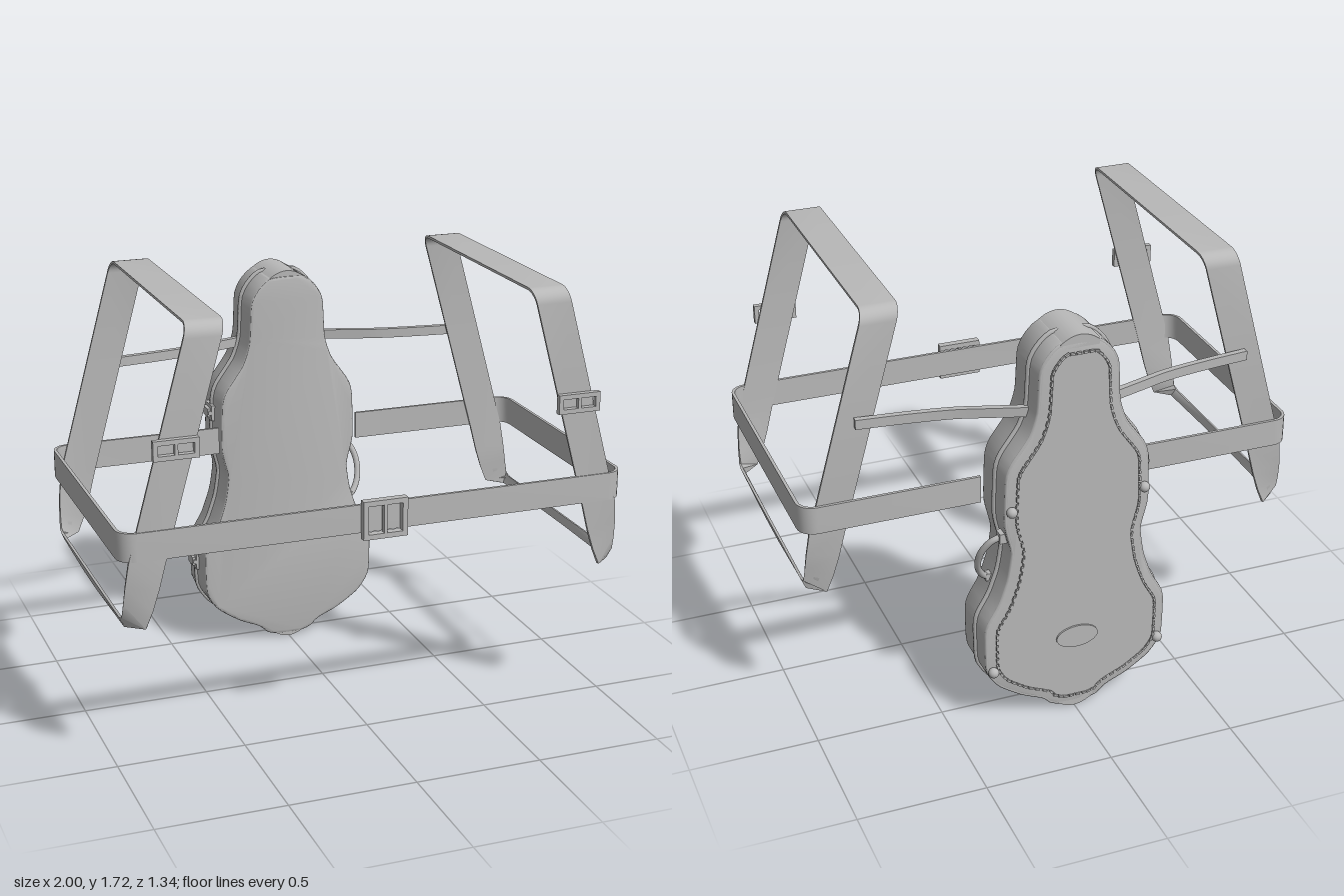
import * as THREE from 'three';
import { mergeGeometries, toCreasedNormals } from 'three/addons/utils/BufferGeometryUtils.js';

const V = (x, y, z) => new THREE.Vector3(x, y, z);
const grey = new THREE.MeshStandardMaterial({ color: 0xb8b8b8, side: THREE.DoubleSide });
grey.name = 'grey';

function add(parent, name, geometry, x = 0, y = 0, z = 0) {
  const mesh = new THREE.Mesh(geometry, grey);
  mesh.name = name;
  mesh.position.set(x, y, z);
  parent.add(mesh);
  return mesh;
}

// Flat strap through stations [edgeA, edgeB], with thickness
function ribbon(stations, thickness, closed = false) {
  const n = stations.length, pos = [], idx = [];
  const mid = (i) => stations[i][0].clone().add(stations[i][1]).multiplyScalar(0.5);
  stations.forEach(([a, b], i) => {
    const prev = closed ? (i + n - 1) % n : Math.max(i - 1, 0);
    const next = closed ? (i + 1) % n : Math.min(i + 1, n - 1);
    const normal = mid(next).sub(mid(prev)).cross(b.clone().sub(a)).normalize().multiplyScalar(thickness / 2);
    for (const p of [a.clone().add(normal), b.clone().add(normal), b.clone().sub(normal), a.clone().sub(normal)]) {
      pos.push(p.x, p.y, p.z);
    }
  });
  for (let i = 0; i < (closed ? n : n - 1); i++) {
    for (let k = 0; k < 4; k++) {
      const a = i * 4 + k, b = i * 4 + (k + 1) % 4;
      const c = ((i + 1) % n) * 4 + k, d = ((i + 1) % n) * 4 + (k + 1) % 4;
      idx.push(a, b, c, b, d, c);
    }
  }
  if (!closed) {
    const e = (n - 1) * 4;
    idx.push(0, 2, 1, 0, 3, 2, e, e + 1, e + 2, e, e + 2, e + 3);
  }
  const g = new THREE.BufferGeometry();
  g.setAttribute('position', new THREE.Float32BufferAttribute(pos, 3));
  g.setIndex(idx);
  return toCreasedNormals(g, 0.7);
}

// Right half of the case outline, top to bottom
const HALF = [[0.07, 1.585], [0.125, 1.54], [0.155, 1.48], [0.165, 1.32], [0.195, 1.23], [0.265, 1.13],
  [0.285, 1.07], [0.29, 0.88], [0.265, 0.77], [0.265, 0.73], [0.28, 0.64], [0.315, 0.54], [0.36, 0.46],
  [0.37, 0.41], [0.365, 0.25], [0.315, 0.17], [0.22, 0.105], [0.13, 0.065], [0.1, 0.035], [0.05, 0.02]];

function caseOutline(inset) {
  const all = [...HALF, ...HALF.map(([x, y]) => [-x, y]).reverse()].map(([x, y]) => V(x, y, 0));
  const curve = new THREE.CatmullRomCurve3(all, true, 'catmullrom', 0.3);
  const pts = curve.getSpacedPoints(130).slice(0, -1);
  return pts.map((p, i) => {
    const t = pts[(i + 2) % pts.length].clone().sub(pts[(i + pts.length - 2) % pts.length]).normalize();
    return new THREE.Vector2(p.x + t.y * inset, p.y - t.x * inset);
  });
}

function slab(inset, zBack, zFront, bevel = 0) {
  const g = new THREE.ExtrudeGeometry(new THREE.Shape(caseOutline(inset)), {
    depth: zFront - zBack - 2 * bevel, bevelEnabled: bevel > 0, bevelSize: bevel,
    bevelThickness: bevel, bevelOffset: -bevel, bevelSegments: 2,
  });
  g.translate(0, 0, zBack + bevel);
  return toCreasedNormals(g, 0.5);
}

function outlineTube(inset, z, radius) {
  const pts = caseOutline(inset).map((p) => V(p.x, p.y, z));
  return new THREE.TubeGeometry(new THREE.CatmullRomCurve3(pts, true), 160, radius, 6, true);
}

// Rectangular buckle frame with a middle bar
function buckle(name, w, h, rim, depth) {
  const group = new THREE.Group();
  group.name = name;
  const rect = (T, a, b) => new T([[-a, -b], [a, -b], [a, b], [-a, b]].map(([x, y]) => new THREE.Vector2(x, y)));
  const frame = rect(THREE.Shape, w / 2, h / 2);
  frame.holes.push(rect(THREE.Path, w / 2 - rim, h / 2 - rim));
  add(group, 'buckleFrame', new THREE.ExtrudeGeometry(frame, { depth, bevelEnabled: false }));
  add(group, 'buckleBar', new THREE.BoxGeometry(0.012, h - rim, depth * 0.8), 0, 0, depth * 0.6);
  return group;
}

function buildCase() {
  const g = new THREE.Group();
  g.name = 'instrumentCase';
  add(g, 'caseBody', slab(0, -0.64, -0.41, 0.012));
  add(g, 'frontRim', outlineTube(0.008, -0.42, 0.008));
  add(g, 'seamBead', outlineTube(-0.002, -0.54, 0.01));
  add(g, 'backRim', outlineTube(0.008, -0.632, 0.008));
  add(g, 'backPanel', slab(0.05, -0.653, -0.63));

  // Stitches around the back panel
  const line = caseOutline(0.045);
  const stitches = line.map((p, i) => {
    const q = line[(i + 1) % line.length];
    const s = new THREE.BoxGeometry(0.018, 0.008, 0.01);
    s.rotateZ(Math.atan2(q.y - p.y, q.x - p.x));
    return s.translate(p.x, p.y, -0.652);
  });
  add(g, 'stitching', mergeGeometries(stitches));

  // Rounded end caps
  for (const [name, y, dir] of [['topCap', 1.56, 1], ['bottomCap', 0.055, -1]]) {
    const s = new THREE.Shape();
    s.moveTo(-0.075, 0);
    s.lineTo(-0.075, 0.02);
    s.quadraticCurveTo(0, 0.08, 0.075, 0.02);
    s.lineTo(0.075, 0);
    const cap = new THREE.ExtrudeGeometry(s, { depth: 0.225, bevelEnabled: false, curveSegments: 10 });
    if (dir < 0) cap.rotateZ(Math.PI);
    add(g, name, toCreasedNormals(cap, 0.5), 0, y, -0.64);
  }

  // Studs and oval badge on the back
  for (const side of [-1, 1]) {
    for (const [x, y] of [[0.34, 0.25], [0.265, 0.94]]) {
      add(g, 'stud', new THREE.SphereGeometry(0.021, 14, 10), side * x, y, -0.652);
    }
  }
  const badge = new THREE.CylinderGeometry(0.085, 0.085, 0.008, 32).rotateX(Math.PI / 2);
  add(g, 'badge', badge, 0, 0.34, -0.656).scale.y = 0.55;

  // Latches on the right edge
  for (const [x, y] of [[-0.293, 1.01], [-0.372, 0.36]]) {
    add(g, 'latchPlate', new THREE.BoxGeometry(0.016, 0.065, 0.09), x, y, -0.55);
    add(g, 'latchLever', new THREE.BoxGeometry(0.022, 0.035, 0.06), x - 0.01, y, -0.55);
    add(g, 'latchPin', new THREE.CylinderGeometry(0.009, 0.009, 0.08, 10).rotateX(Math.PI / 2), x - 0.012, y, -0.55);
  }

  // Carrying handle on the left edge
  const path = new THREE.CatmullRomCurve3([V(0.28, 0.815, -0.6), V(0.32, 0.8, -0.593), V(0.352, 0.75, -0.57),
    V(0.36, 0.69, -0.543), V(0.345, 0.63, -0.515), V(0.315, 0.59, -0.495), V(0.29, 0.58, -0.49)]);
  add(g, 'handle', new THREE.TubeGeometry(path, 32, 0.013, 10));
  add(g, 'handleMount', new THREE.BoxGeometry(0.03, 0.04, 0.045), 0.285, 0.815, -0.598);
  add(g, 'handleMount', new THREE.BoxGeometry(0.03, 0.03, 0.03), 0.3, 0.585, -0.492);
  return g;
}

// Shoulder loop: front half as [inner, outer] stations, mirrored to the back
function shoulderLoop() {
  const zc = 0.1125, half = 0.5175, r = 0.05, front = [];
  const inner = (y) => 0.59 + 0.275 * (1.72 - y);
  const level = (y, z) => front.push([V(inner(y), y, z), V(inner(y) + 0.14, y, z)]);
  level(1.715, 0.1);
  for (let i = 0; i <= 6; i++) {
    const a = (i / 6) * Math.PI / 2;
    level(1.665 + r * Math.cos(a), half - r + r * Math.sin(a));
  }
  level(1.3, half);
  level(0.86, half);
  front.push([V(0.855, 0.75, half), V(0.978, 0.77, half - 0.012)],
    [V(0.88, 0.67, half), V(0.983, 0.7, half - 0.026)],
    [V(0.907, 0.605, half), V(0.985, 0.645, half - 0.042)],
    [V(0.97, 0.602, half - 0.055), V(0.985, 0.636, half - 0.07)],
    [V(0.978, 0.602, 0.1), V(0.985, 0.636, 0.1)]);
  const back = front.map((s) => s.map((p) => V(p.x, p.y, -p.z))).reverse();
  const stations = [...front, ...back].map((s) => s.map((p) => V(p.x, p.y, p.z + zc)));
  return ribbon(stations, 0.01, true);
}

function waistBelt() {
  const r = 0.06, X = 0.993, zf = 0.633, zb = -0.415, path = [[0.3, zb]];
  const corner = (cx, cz, start) => {
    for (let i = 0; i <= 6; i++) {
      const a = start + (i / 6) * Math.PI / 2;
      path.push([cx + r * Math.cos(a), cz + r * Math.sin(a)]);
    }
  };
  corner(X - r, zb + r, -Math.PI / 2);
  corner(X - r, zf - r, 0);
  const full = [...path, ...path.map(([x, z]) => [-x, z]).reverse()];
  return ribbon(full.map(([x, z]) => [V(x, 0.867, z), V(x, 0.977, z)]), 0.012);
}

export function createModel() {
  const model = new THREE.Group();
  model.name = 'caseWithHarness';
  model.add(buildCase());
  add(model, 'waistBelt', waistBelt());
  const waistBuckle = buckle('waistBuckle', 0.175, 0.15, 0.02, 0.03);
  waistBuckle.position.set(0, 0.922, 0.642);
  model.add(waistBuckle);

  // Shoulder loops, buckles and upper straps on both sides
  for (const side of [1, -1]) {
    const harness = new THREE.Group();
    harness.name = side > 0 ? 'leftHarness' : 'rightHarness';
    harness.scale.x = side;
    add(harness, 'shoulderStrap', shoulderLoop());
    const b = buckle('shoulderBuckle', 0.17, 0.075, 0.018, 0.022);
    b.position.set(0.785, 1.277, 0.635);
    harness.add(b);
    const run = [[0.78, -0.425], [0.6, -0.445], [0.42, -0.475], [0.3, -0.512], [0.165, -0.555]];
    const path = new THREE.CatmullRomCurve3(run.map(([x, z]) => V(x, 1.295, z))).getPoints(16);
    add(harness, 'upperStrap', ribbon(path.map((p) => [V(p.x, 1.276, p.z), V(p.x, 1.314, p.z)]), 0.024));
    model.add(harness);
  }
  return model;
}
